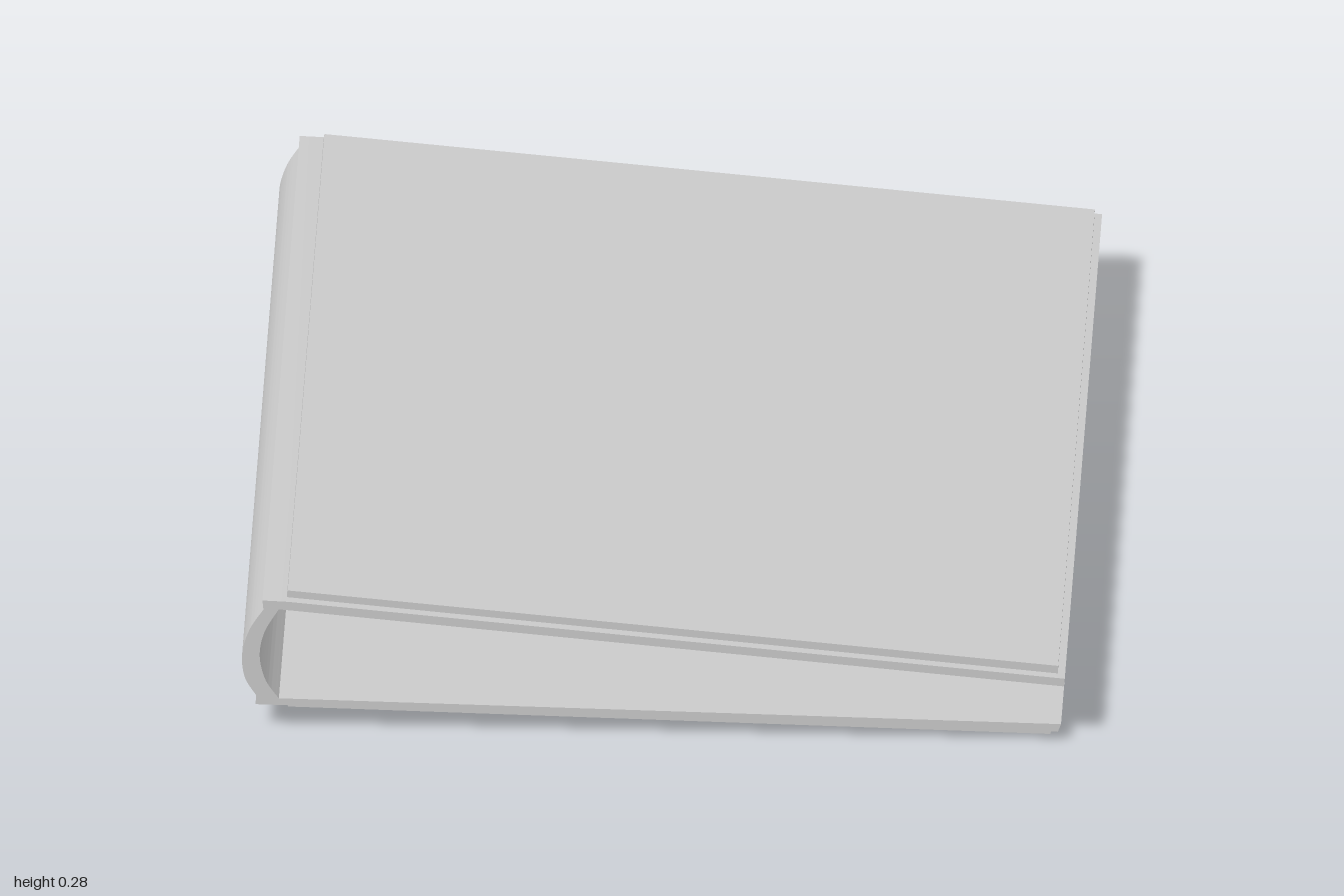
import * as THREE from 'three';
import { toCreasedNormals } from 'three/addons/utils/BufferGeometryUtils.js';

const material = new THREE.MeshStandardMaterial({ color: 0xcccccc });
const v = ([x, y]) => new THREE.Vector2(x, y);

// Extrudes an x-y outline along z and keeps its sharp edges crisp
function extrude(name, shape, zMin, zMax) {
  const raw = new THREE.ExtrudeGeometry(shape, { depth: zMax - zMin, bevelEnabled: false, curveSegments: 24 });
  raw.translate(0, 0, zMin);
  const mesh = new THREE.Mesh(toCreasedNormals(raw, 0.5), material);
  mesh.name = name;
  return mesh;
}

export function createModel() {
  const group = new THREE.Group();
  group.name = 'openBinder';

  // Wrap-around cover: upper board, curved spine and lower board in one outline
  const cover = new THREE.Shape();
  cover.moveTo(0.773, 0.128);
  cover.lineTo(-0.69, 0.264);
  cover.lineTo(-0.737, 0.266);
  cover.lineTo(-0.735, 0.247);
  cover.splineThru([[-0.761, 0.205], [-0.775, 0.155], [-0.77, 0.105], [-0.748, 0.067]].map(v));
  cover.lineTo(-0.75, 0.049);
  cover.lineTo(0.76, 0.017);
  cover.lineTo(0.766, 0.033);
  cover.lineTo(-0.706, 0.062);
  cover.splineThru([[-0.731, 0.1], [-0.742, 0.15], [-0.733, 0.2], [-0.706, 0.248]].map(v));
  cover.lineTo(0.771, 0.112);
  cover.closePath();
  group.add(extrude('coverAndSpine', cover, -1, 1));

  // Raised panels on the outside of both boards
  const upper = [[-0.692, 0.262], [0.759, 0.127], [0.76, 0.145], [-0.69, 0.278]];
  const lower = [[-0.69, 0.033], [0.745, 0], [0.75, 0.019], [-0.69, 0.05]];
  group.add(extrude('upperPanel', new THREE.Shape(upper.map(v)), -0.985, 0.98));
  group.add(extrude('lowerPanel', new THREE.Shape(lower.map(v)), -0.97, 0.975));

  return group;
}
